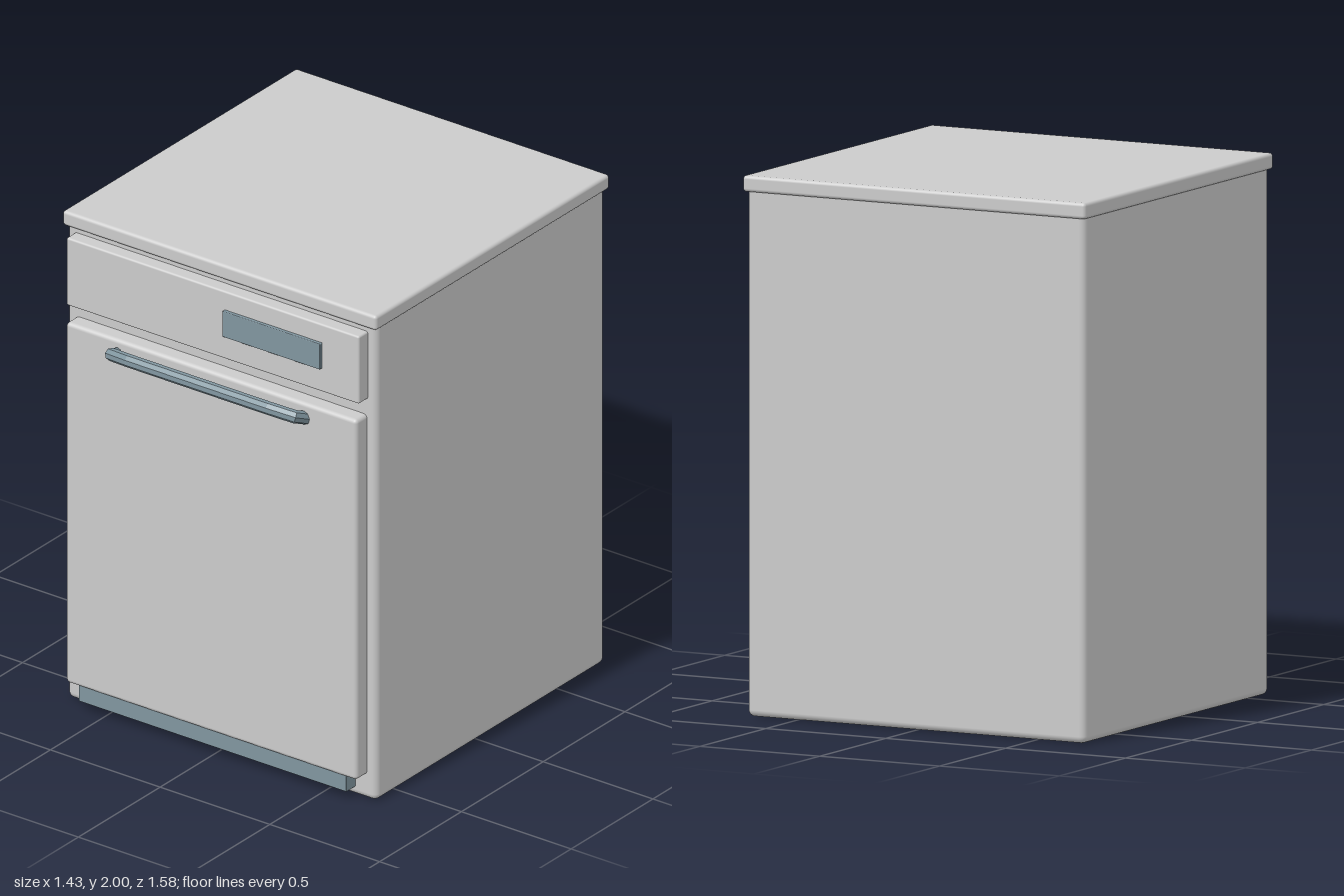
import * as THREE from 'three';
import { RoundedBoxGeometry } from 'three/addons/geometries/RoundedBoxGeometry.js';

// Straight-sided path whose corners land exactly on the tube rings
class Polyline extends THREE.Curve {
  constructor(points) {
    super();
    this.points = points;
  }
  getPoint(t, target = new THREE.Vector3()) {
    const n = this.points.length - 1;
    const s = Math.min(Math.max(t, 0), 1) * n;
    const i = Math.min(Math.floor(s), n - 1);
    return target.lerpVectors(this.points[i], this.points[i + 1], s - i);
  }
  getPointAt(u, target) { return this.getPoint(u, target); }
  getTangentAt(u, target) { return this.getTangent(u, target); }
}

export function createModel() {
  const model = new THREE.Group();
  model.name = 'dishwasher';
  const shell = new THREE.MeshStandardMaterial({ color: 0xc8ccca });
  const trim = new THREE.MeshStandardMaterial({ color: 0x80959f });
  const trimFlat = new THREE.MeshStandardMaterial({ color: 0x80959f, flatShading: true });

  // Rounded box given by its limits on each axis
  function block(name, [x0, x1], [y0, y1], [z0, z1], radius, material) {
    const geometry = new RoundedBoxGeometry(x1 - x0, y1 - y0, z1 - z0, 3, radius);
    const mesh = new THREE.Mesh(geometry, material);
    mesh.name = name;
    mesh.position.set((x0 + x1) / 2, (y0 + y1) / 2, (z0 + z1) / 2);
    model.add(mesh);
  }

  // Cabinet and overhanging worktop
  block('cabinet', [-0.705, 0.705], [0, 1.97], [-0.775, 0.625], 0.025, shell);
  block('worktop', [-0.715, 0.715], [1.94, 2], [-0.79, 0.64], 0.013, shell);

  // Front panels
  block('controlPanel', [-0.667, 0.667], [1.643, 1.92], [0.58, 0.68], 0.008, shell);
  block('display', [0.055, 0.5], [1.74, 1.845], [0.66, 0.695], 0.003, trim);
  block('door', [-0.663, 0.663], [0.1, 1.578], [0.58, 0.69], 0.016, shell);
  block('kickPlate', [-0.61, 0.61], [0.035, 0.115], [0.58, 0.68], 0.003, trim);

  // Handle: bent bar tilted up and away from the door
  const half = [[0.427, 1.515, 0.68], [0.418, 1.54, 0.737], [0.32, 1.555, 0.763]];
  const points = [
    ...half.map(([x, y, z]) => new THREE.Vector3(-x, y, z)),
    ...half.slice().reverse().map(([x, y, z]) => new THREE.Vector3(x, y, z)),
  ];
  const handle = new THREE.Mesh(
    new THREE.TubeGeometry(new Polyline(points), points.length - 1, 0.025, 8), trimFlat);
  handle.name = 'handle';
  model.add(handle);

  return model;
}
